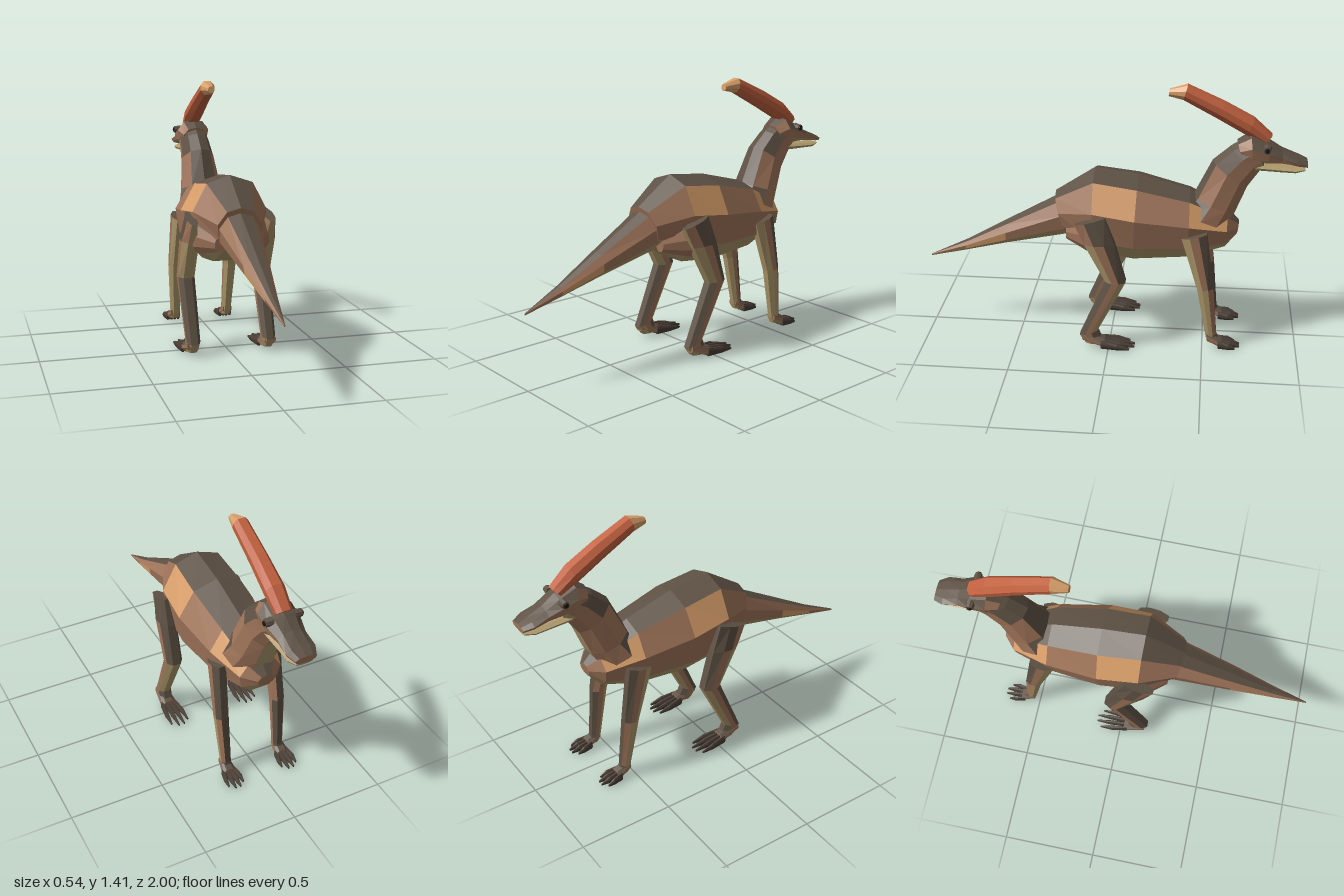
import * as THREE from 'three';

const mat = (name, color) => {
  const m = new THREE.MeshStandardMaterial({ color, flatShading: true });
  m.name = name;
  return m;
};
const back = mat('dark back hide', 0x5e5144);
const side = mat('brown side hide', 0xa0755a);
const tan = mat('tan patch hide', 0xd89f6a);
const belly = mat('olive belly hide', 0xb09a6c);
const claw = mat('dark claw', 0x4a3f36);
const red = mat('crest red', 0xc2613f);
const black = mat('eye black', 0x1c1814);

// Cross-section templates (u across, v along the ring's own height)
const mirrorRing = (half) => [...half, ...half.slice().reverse().filter((p) => p[0] > 0).map(([u, v]) => [-u, v])];
const BODY = mirrorRing([[0, 1], [0.62, 0.82], [1, 0.2], [0.9, -0.5], [0.45, -0.95]]);
const LIMB = mirrorRing([[0.5, 1], [1, 0.35], [1, -0.35], [0.5, -1]]);

// Back dark, underside olive, flanks brown, decided by how far a face tilts
const hide = (t) => (ny) => (ny > t ? back : ny < -t ? belly : side);

// Loft through rings [yA, zA, yB, zB, halfWidth, xCentre]; paint(ny, segment, facet) picks the colour
function loft(name, template, rings, paint) {
  const n = template.length;
  const centres = rings.map(([ya, za, yb, zb, , x = 0]) => new THREE.Vector3(x, (ya + yb) / 2, (za + zb) / 2));
  const loops = rings.map(([ya, za, yb, zb, w], i) => template.map(([u, v]) => new THREE.Vector3(
    centres[i].x + u * w, centres[i].y + v * (ya - yb) / 2, centres[i].z + v * (za - zb) / 2)));
  const buckets = new Map();
  const face = (pts, inside, seg, facet) => {
    const normal = new THREE.Vector3();
    for (let i = 1; i < pts.length - 1; i++) {
      normal.add(pts[i].clone().sub(pts[0]).cross(pts[i + 1].clone().sub(pts[0])));
    }
    const mid = pts.reduce((s, p) => s.add(p), new THREE.Vector3()).divideScalar(pts.length);
    if (normal.dot(mid.sub(inside)) < 0) { pts.reverse(); normal.negate(); }
    const m = paint(normal.normalize().y, seg, facet);
    if (!buckets.has(m)) buckets.set(m, []);
    for (let i = 1; i < pts.length - 1; i++) {
      for (const p of [pts[0], pts[i], pts[i + 1]]) buckets.get(m).push(p.x, p.y, p.z);
    }
  };
  for (let s = 0; s < rings.length - 1; s++) {
    const inside = centres[s].clone().lerp(centres[s + 1], 0.5);
    for (let k = 0; k < n; k++) {
      const j = (k + 1) % n;
      face([loops[s][k], loops[s][j], loops[s + 1][j], loops[s + 1][k]], inside, s, k);
    }
  }
  const last = rings.length - 1;
  face([...loops[0]], centres[1], -1, -1);
  face([...loops[last]], centres[last - 1], last, -1);
  const geo = new THREE.BufferGeometry();
  const all = [], mats = [];
  for (const [m, list] of buckets) {
    geo.addGroup(all.length / 3, list.length / 3, mats.length);
    for (const v of list) all.push(v);
    mats.push(m);
  }
  geo.setAttribute('position', new THREE.Float32BufferAttribute(all, 3));
  geo.computeVertexNormals();
  const mesh = new THREE.Mesh(geo, mats);
  mesh.name = name;
  return mesh;
}

// Foot block with four spread toes; heel and ball are z positions
function foot(name, x, heel, ball, tip, w) {
  const g = new THREE.Group();
  g.name = name;
  g.add(loft('sole', LIMB, [
    [0.1, heel, 0.05, heel, w * 0.7, x],
    [0.065, ball, 0.012, ball, w, x],
  ], hide(0.3)));
  for (let i = 0; i < 4; i++) {
    const o = (i - 1.5) / 1.5;
    const reach = i === 1 || i === 2 ? tip : tip + 0.025;
    g.add(loft('toe', LIMB, [
      [0.06, ball + 0.02, 0.014, ball + 0.02, 0.011, x + o * w * 0.75],
      [0.05, (ball + reach) / 2, 0.016, (ball + reach) / 2, 0.011, x + o * w * 1.05],
      [0.03, reach, 0.018, reach, 0.004, x + o * w * 1.1],
    ], () => claw));
  }
  return g;
}

export function createModel() {
  const model = new THREE.Group();
  model.name = 'crestedDinosaur';

  // Torso, with a tan patch on each flank above the belly
  const torsoHide = hide(0.5);
  model.add(loft('torso', BODY, [
    [0.825, 0.3, 0.61, 0.24, 0.115],
    [0.965, 0.09, 0.5, 0.09, 0.2],
    [0.935, -0.14, 0.475, -0.12, 0.213],
    [0.86, -0.41, 0.495, -0.41, 0.178],
    [0.75, -0.61, 0.555, -0.6, 0.115],
    [0.69, -0.67, 0.62, -0.66, 0.045],
  ], (ny, s, k) => ((s === 1 && (k === 1 || k === 7)) || (s === 3 && (k === 1 || k === 7)) ? tan : torsoHide(ny))));

  // Tail
  const tailHide = hide(0.6);
  model.add(loft('tail', BODY, [
    [0.81, 0.27, 0.59, 0.24, 0.108],
    [0.64, 0.57, 0.515, 0.57, 0.067],
    [0.51, 0.8, 0.455, 0.8, 0.032],
    [0.415, 1, 0.405, 1, 0.003],
  ], (ny, s, k) => (s === 1 && (k === 2 || k === 6) ? tan : tailHide(ny))));

  // Neck
  model.add(loft('neck', BODY, [
    [0.78, -0.38, 0.66, -0.6, 0.14],
    [0.84, -0.43, 0.76, -0.65, 0.115],
    [1.03, -0.52, 0.9, -0.705, 0.092],
    [1.11, -0.61, 0.99, -0.765, 0.083],
    [1.175, -0.715, 1.01, -0.785, 0.08],
  ], hide(0.36)));

  // Head and lower jaw
  model.add(loft('skull', BODY, [
    [1.14, -0.64, 1.04, -0.68, 0.07],
    [1.185, -0.71, 1.03, -0.72, 0.092],
    [1.145, -0.8, 1.03, -0.8, 0.088],
    [1.1, -0.87, 1.03, -0.87, 0.074],
    [1.065, -0.95, 1.022, -0.95, 0.078],
    [1.045, -1, 1.012, -1, 0.056],
  ], hide(0.5)));
  model.add(loft('lowerJaw', BODY, [
    [1.03, -0.73, 0.99, -0.74, 0.065],
    [1.018, -0.86, 0.985, -0.86, 0.062],
    [1.012, -0.94, 0.983, -0.94, 0.062],
    [1.012, -0.99, 0.995, -0.99, 0.046],
  ], () => belly));

  // Backswept crest with a pale tip
  model.add(loft('crest', LIMB, [
    [1.175, -0.815, 1.13, -0.77, 0.042],
    [1.26, -0.72, 1.175, -0.685, 0.05],
    [1.34, -0.57, 1.255, -0.54, 0.045],
    [1.425, -0.38, 1.35, -0.36, 0.04],
    [1.4, -0.29, 1.365, -0.285, 0.018],
  ], (ny, s) => (s >= 3 ? tan : red)));

  for (const s of [1, -1]) {
    const label = s > 0 ? 'left' : 'right';

    // Eye in a dark socket
    for (const [name, r, reach, m] of [['EyeSocket', 0.024, 0.097, back], ['Eye', 0.015, 0.103, black]]) {
      const disc = new THREE.Mesh(new THREE.CylinderGeometry(r * 0.8, r, 0.04, 8), m);
      disc.rotation.z = -s * Math.PI / 2;
      disc.position.set(s * (reach - 0.02), 1.12, -0.79);
      disc.name = label + name;
      model.add(disc);
    }

    // Hind leg
    model.add(loft(label + 'HindLeg', LIMB, [
      [0.77, 0.02, 0.725, 0.175, 0.028, s * 0.21],
      [0.63, -0.03, 0.62, 0.125, 0.047, s * 0.208],
      [0.41, -0.09, 0.41, 0.015, 0.045, s * 0.21],
      [0.11, 0.06, 0.08, 0.155, 0.037, s * 0.207],
      [0.04, 0.03, 0.03, 0.12, 0.033, s * 0.207],
    ], hide(0.07)));
    // Hip muscle joining thigh and tail root
    model.add(loft(label + 'Hip', BODY, [
      [0.74, 0.0, 0.54, 0.0, 0.05, s * 0.15],
      [0.73, 0.12, 0.56, 0.12, 0.065, s * 0.15],
      [0.67, 0.235, 0.59, 0.235, 0.03, s * 0.09],
    ], hide(0.6)));
    model.add(foot(label + 'HindFoot', s * 0.212, 0.14, 0.02, -0.14, 0.044));

    // Front leg
    model.add(loft(label + 'FrontLeg', LIMB, [
      [0.68, -0.505, 0.65, -0.375, 0.04, s * 0.155],
      [0.37, -0.55, 0.36, -0.465, 0.036, s * 0.163],
      [0.09, -0.575, 0.07, -0.52, 0.027, s * 0.155],
      [0.04, -0.59, 0.04, -0.53, 0.026, s * 0.155],
    ], hide(0.05)));
    model.add(foot(label + 'FrontFoot', s * 0.158, -0.525, -0.605, -0.7, 0.038));
  }
  return model;
}
